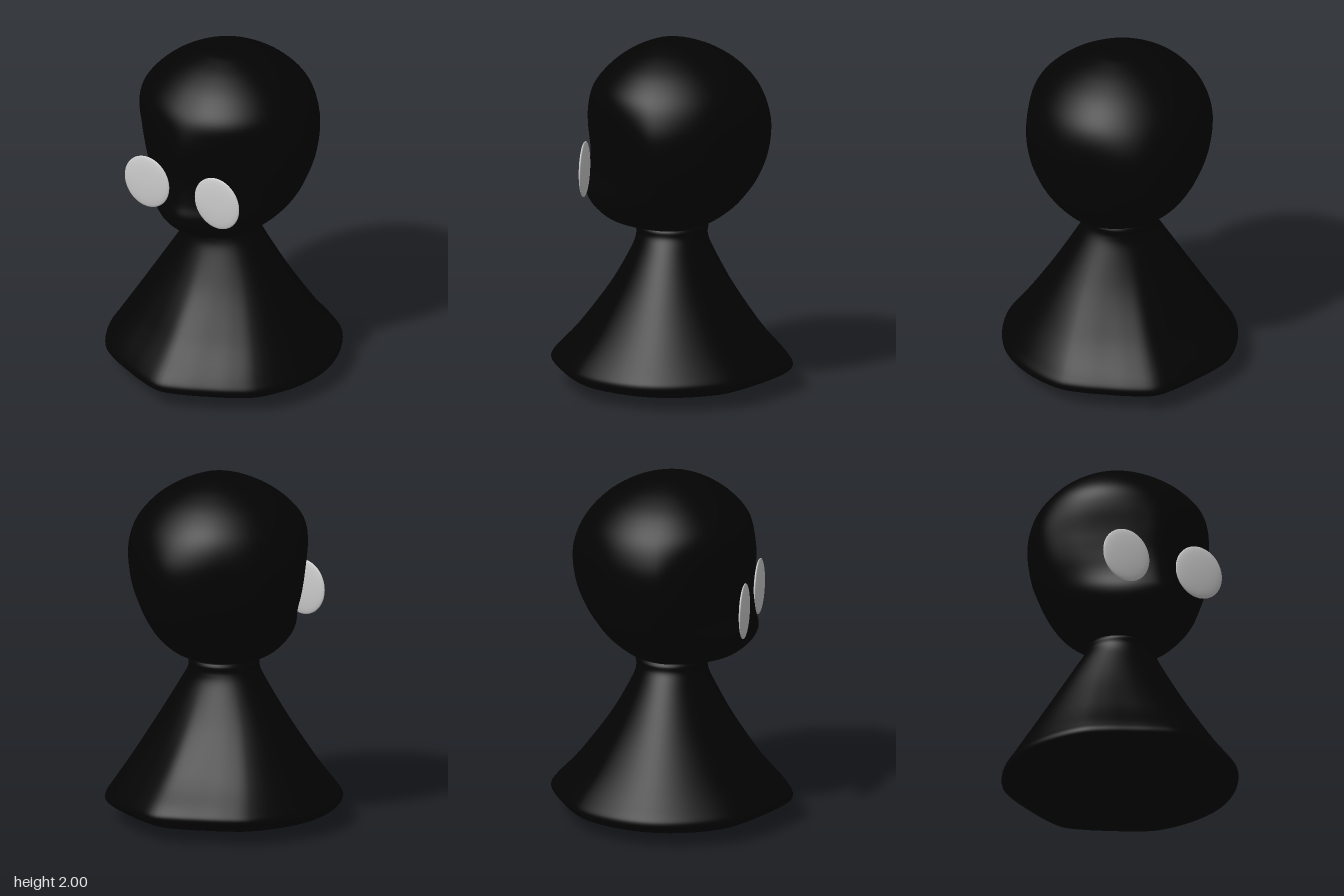
import * as THREE from 'three';

const dark = new THREE.MeshStandardMaterial({ color: 0x030303 });
const grey = new THREE.MeshStandardMaterial({ color: 0xcccccc });
const v3 = (x, y, z) => new THREE.Vector3(x, y, z);
const { smoothstep } = THREE.MathUtils;

// Half outline from front (0,1) to back (0,-1), mirrored into a smooth closed loop.
function closedOutline(half, count) {
  const mirrored = half.slice(1, -1).reverse().map(([x, z]) => [-x, z]);
  const points = [...half, ...mirrored].map(([x, z]) => v3(x, 0, z));
  const curve = new THREE.CatmullRomCurve3(points, true);
  return Array.from({ length: count }, (_, i) => curve.getPoint(i / count));
}

// Smooth surface through rows of [y, half width, front depth, back depth].
// roundness(y) blends the outline towards an ellipse.
function loft(rows, half, roundness, steps = 90, count = 96) {
  const outline = closedOutline(half, count);
  const front = new THREE.CatmullRomCurve3(rows.map(([y, w, f]) => v3(w, y, f)), false, 'catmullrom');
  const back = new THREE.CatmullRomCurve3(rows.map(([y, w, , b]) => v3(w, y, b)), false, 'catmullrom');
  const positions = [], index = [];
  for (let i = 0; i <= steps; i++) {
    const f = front.getPoint(i / steps), b = back.getPoint(i / steps);
    const k = roundness(f.y);
    outline.forEach((o) => {
      const p = o.clone().lerp(o.clone().normalize(), k);
      positions.push(p.x * f.x, f.y, p.z * (p.z > 0 ? f.z : b.z));
    });
  }
  for (let i = 0; i < steps; i++) {
    for (let j = 0; j < count; j++) {
      const a = i * count + j, b = i * count + (j + 1) % count;
      index.push(a, b, a + count, b, b + count, a + count);
    }
  }
  const geometry = new THREE.BufferGeometry();
  geometry.setAttribute('position', new THREE.Float32BufferAttribute(positions, 3));
  geometry.setIndex(index);
  geometry.computeVertexNormals();
  return geometry;
}

function addMesh(group, name, geometry, material) {
  const mesh = new THREE.Mesh(geometry, material);
  mesh.name = name;
  group.add(mesh);
  return mesh;
}

export function createModel() {
  const model = new THREE.Group();
  model.name = 'figure';

  // Flared body with a gently bulging base and a narrow neck
  const bodyRows = [
    [0, 0, 0], [0.01, 0.22, 0.22], [0.03, 0.41, 0.4], [0.065, 0.57, 0.57],
    [0.105, 0.65, 0.66], [0.145, 0.663, 0.687], [0.2, 0.63, 0.655], [0.3, 0.568, 0.56],
    [0.4, 0.505, 0.478], [0.6, 0.38, 0.335], [0.8, 0.255, 0.225], [0.88, 0.205, 0.2],
    [0.925, 0.195, 0.203], [0.945, 0.16, 0.17], [0.95, 0, 0],
  ].map(([y, w, d]) => [y, w, d, d]);
  const bodyFront = [[0, 1], [0.2, 0.945], [0.41, 0.85], [0.6, 0.752], [0.77, 0.625], [0.94, 0.32]];
  const bodyBack = bodyFront.map(([x, z]) => [x, -z]).reverse();
  addMesh(model, 'body', loft(bodyRows, [...bodyFront, [1, 0], ...bodyBack],
    (y) => smoothstep(y, 0.3, 0.9)), dark);

  // Head with a tapering face, a rounded chin and a fuller back and crown
  const headRows = [
    [0.92, 0, 0, 0], [0.923, 0.14, 0.18, 0.12], [0.94, 0.21, 0.28, 0.18], [0.975, 0.28, 0.37, 0.26],
    [1.05, 0.355, 0.455, 0.36], [1.13, 0.415, 0.49, 0.43], [1.22, 0.463, 0.472, 0.49],
    [1.35, 0.512, 0.46, 0.543], [1.5, 0.535, 0.475, 0.564], [1.62, 0.522, 0.47, 0.545],
    [1.74, 0.472, 0.433, 0.487], [1.85, 0.378, 0.34, 0.388], [1.93, 0.26, 0.23, 0.27],
    [1.98, 0.14, 0.12, 0.15], [1.995, 0.065, 0.055, 0.075], [2, 0, 0, 0],
  ];
  const headOutline = [
    [0, 1], [0.26, 0.9], [0.57, 0.67], [0.84, 0.37], [1, 0],
    [0.86, -0.46], [0.53, -0.78], [0.24, -0.95], [0, -1],
  ];
  const headRoundness = (y) => smoothstep(y, 1.45, 1.8) * 1.1 + 0.9 * (1 - smoothstep(y, 0.98, 1.28));
  const head = addMesh(model, 'head', loft(headRows, headOutline, headRoundness), dark);
  head.position.x = 0.012;

  // Flat disc-like eyes
  for (const [name, x] of [['rightEye', -0.219], ['leftEye', 0.25]]) {
    const eye = addMesh(model, name, new THREE.SphereGeometry(1, 48, 32), grey);
    eye.scale.set(0.149, 0.158, 0.018);
    eye.position.set(x, 1.285, 0.452);
  }
  return model;
}
